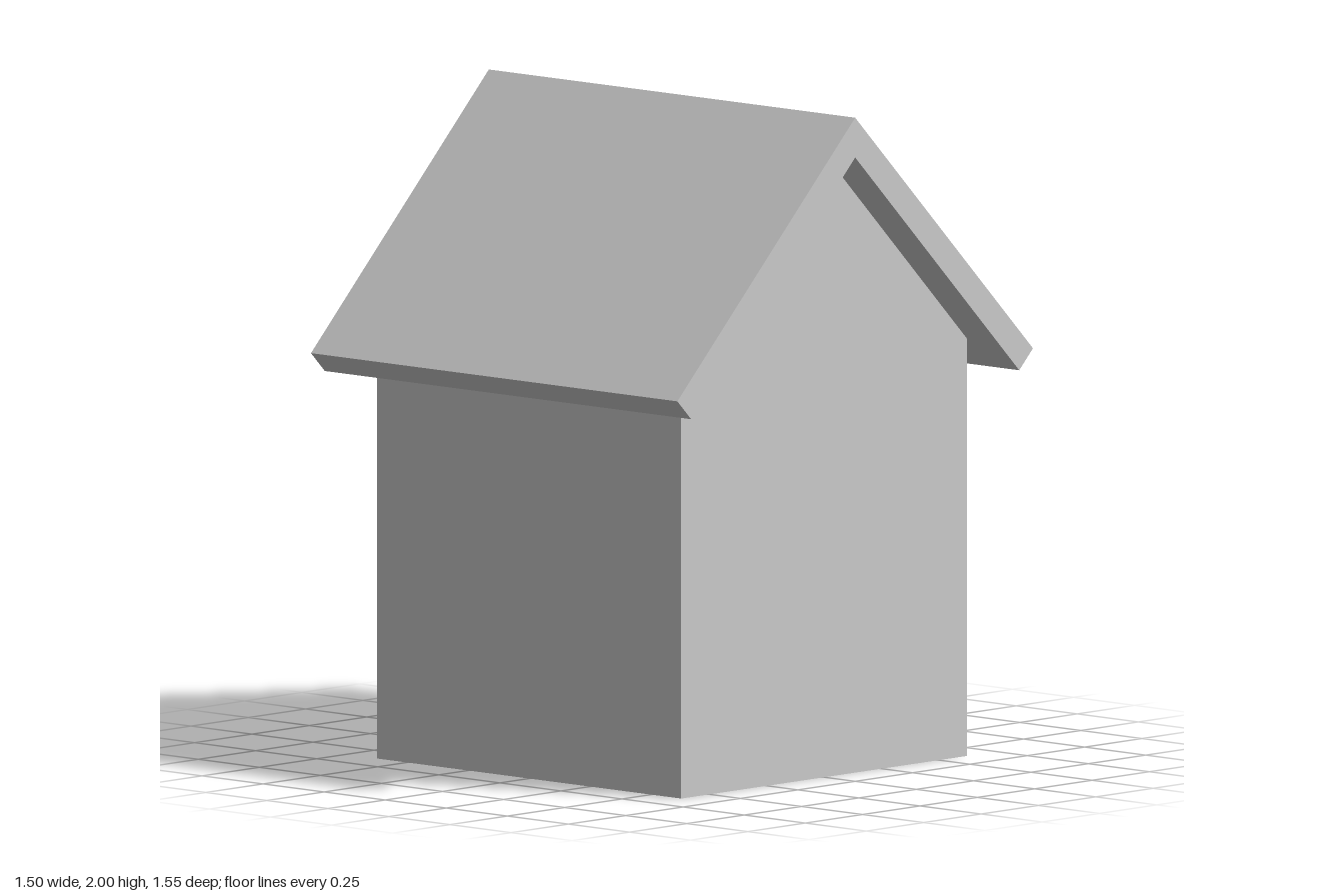
import * as THREE from 'three';

const material = new THREE.MeshStandardMaterial({ color: 0xcccccc, flatShading: true });

// Extrudes a (z, y) gable profile along x, centred on x = 0
function gablePart(name, points, width) {
  const shape = new THREE.Shape(points.map(([z, y]) => new THREE.Vector2(z, y)));
  const geometry = new THREE.ExtrudeGeometry(shape, { depth: width, bevelEnabled: false });
  geometry.translate(0, 0, -width / 2);
  geometry.rotateY(-Math.PI / 2);
  const mesh = new THREE.Mesh(geometry, material);
  mesh.name = name;
  return mesh;
}

export function createModel() {
  const group = new THREE.Group();
  group.name = 'house';

  const half = 0.623;      // half depth of the walls
  const ridge = 2;         // outer top of the roof
  const innerRidge = 1.88; // underside of the roof at the ridge
  const eave = 0.775;      // outer reach of the roof
  const lip = (ridge - innerRidge) / 2; // offset of the square-cut eave edge

  // Walls with gable ends, following the 45 degree roof underside
  group.add(gablePart('walls', [
    [-half, 0], [half, 0], [half, innerRidge - half], [0, innerRidge], [-half, innerRidge - half],
  ], 2 * half));

  // Overhanging roof of two thick slopes
  group.add(gablePart('roof', [
    [0, ridge], [-eave, ridge - eave], [-eave + lip, ridge - eave - lip],
    [0, innerRidge], [eave - lip, ridge - eave - lip], [eave, ridge - eave],
  ], 1.5));

  return group;
}
